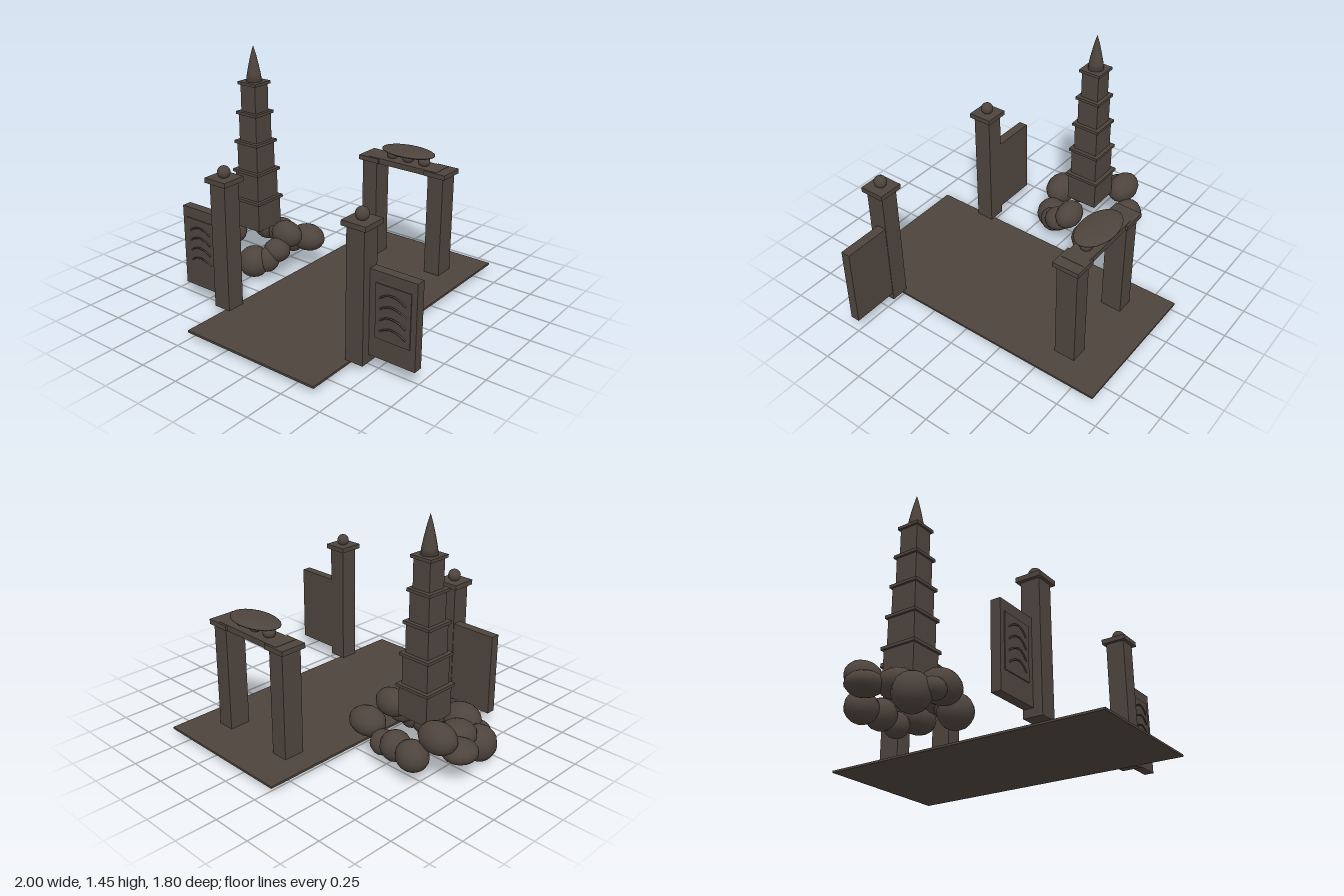
import * as THREE from 'three';

const stone = new THREE.MeshStandardMaterial({ color: 0x4e443d });
stone.name = 'dark stone';

function add(parent, name, geometry, x, y, z) {
  const mesh = new THREE.Mesh(geometry, stone);
  mesh.name = name;
  mesh.position.set(x, y, z);
  parent.add(mesh);
  return mesh;
}

// Box standing on y0 and reaching y1
function block(parent, name, w, d, y0, y1, x, z) {
  return add(parent, name, new THREE.BoxGeometry(w, y1 - y0, d), x, (y0 + y1) / 2, z);
}

function ellipsoid(parent, name, rx, ry, rz, x, y, z, seg = 14) {
  const g = new THREE.SphereGeometry(1, seg, Math.round(seg * 0.7));
  const mesh = add(parent, name, g, x, y, z);
  mesh.scale.set(rx, ry, rz);
  return mesh;
}

function group(parent, name) {
  const g = new THREE.Group();
  g.name = name;
  parent.add(g);
  return g;
}

const AXIS = 0.18; // x of the path's centre line

// Gate post with cap and ball, and its carved wing panel
function gateSide(parent, side) {
  const g = group(parent, side > 0 ? 'leftGate' : 'rightGate');
  const px = AXIS + side * 0.477;
  const cx = AXIS + side * 0.68;
  block(g, 'gatePost', 0.112, 0.115, 0.042, 0.82, px, 0.54);
  block(g, 'postCap', 0.153, 0.153, 0.815, 0.845, px, 0.54);
  ellipsoid(g, 'postBall', 0.038, 0.038, 0.038, px, 0.874, 0.54, 16);
  block(g, 'wingPanel', 0.3, 0.058, 0.09, 0.59, AXIS + side * 0.67, 0.515);
  block(g, 'panelInlay', 0.215, 0.007, 0.21, 0.525, cx, 0.546);

  // Four bowed chevrons
  for (let i = 0; i < 4; i++) {
    const y = 0.447 - i * 0.064;
    const points = [[-0.08, 0, 0], [-0.045, 0.024, 0.006], [0, 0.036, 0.009],
      [0.045, 0.024, 0.006], [0.08, 0, 0]].map(p => new THREE.Vector3(...p));
    const curve = new THREE.CatmullRomCurve3(points);
    add(g, 'chevron', new THREE.TubeGeometry(curve, 12, 0.005, 6), cx, y, 0.55);
  }
}

// Arch at the far end of the path
function arch(parent) {
  const g = group(parent, 'arch');
  const z = -0.605;
  for (const side of [-1, 1]) {
    const x = AXIS - 0.005 + side * 0.243;
    block(g, 'archPillar', 0.107, 0.132, 0.042, 0.69, x, z);
    block(g, 'archPillarCap', 0.146, 0.166, 0.69, 0.72, x, z);
  }
  block(g, 'lintel', 0.5, 0.14, 0.686, 0.722, AXIS - 0.005, z);
  for (const dx of [-0.117, 0, 0.117]) {
    ellipsoid(g, 'lintelBall', 0.038, 0.032, 0.038, AXIS - 0.003 + dx, 0.745, z);
  }
  ellipsoid(g, 'archCrown', 0.184, 0.022, 0.108, AXIS - 0.003, 0.785, z, 24);
}

// Five shrinking storeys with ledges and a pointed spire
function tower(parent) {
  const g = group(parent, 'tower');
  const x = -0.6, z = -0.055;
  for (let i = 0; i < 5; i++) {
    const y0 = 0.28 + i * 0.187;
    const w = 0.205 - i * 0.022;
    block(g, 'towerStorey', w, w, y0, y0 + 0.19, x, z);
    block(g, 'towerLedge', w + 0.025, w + 0.025, y0 + 0.178, y0 + 0.196, x, z);
  }
  const profile = [[0, 1.21], [0.05, 1.21], [0.043, 1.265], [0.031, 1.325],
    [0.016, 1.39], [0, 1.445]].map(p => new THREE.Vector2(...p));
  add(g, 'spire', new THREE.LatheGeometry(profile, 16), x, 0, z);
}

// Ring of boulders: x, y, z, then radii
const boulders = [
  [-0.895, 0.19, -0.1, 0.105, 0.065, 0.105],
  [-0.81, 0.27, -0.185, 0.122, 0.092, 0.09],
  [-0.715, 0.16, -0.28, 0.1, 0.09, 0.09],
  [-0.58, 0.16, -0.265, 0.09, 0.09, 0.09],
  [-0.47, 0.13, -0.25, 0.075, 0.075, 0.075],
  [-0.325, 0.2, -0.225, 0.118, 0.085, 0.095],
  [-0.36, 0.27, -0.06, 0.108, 0.085, 0.08],
  [-0.365, 0.19, 0.03, 0.085, 0.075, 0.085],
  [-0.39, 0.14, 0.09, 0.07, 0.08, 0.08],
  [-0.46, 0.125, 0.14, 0.1, 0.1, 0.1],
  [-0.665, 0.18, 0.205, 0.125, 0.095, 0.1],
  [-0.765, 0.13, 0.235, 0.075, 0.06, 0.065],
  [-0.83, 0.108, 0.155, 0.105, 0.108, 0.105],
  [-0.78, 0.2, 0.02, 0.11, 0.08, 0.115],
];

export function createModel() {
  const model = new THREE.Group();
  model.name = 'pagodaGarden';
  block(model, 'path', 0.9, 1.8, 0.03, 0.043, AXIS, 0);
  gateSide(model, -1);
  gateSide(model, 1);
  arch(model);
  tower(model);
  const rocks = group(model, 'boulderRing');
  boulders.forEach(([x, y, z, rx, ry, rz], i) => {
    ellipsoid(rocks, 'boulder', rx, ry, rz, x, y, z);
  });
  return model;
}
